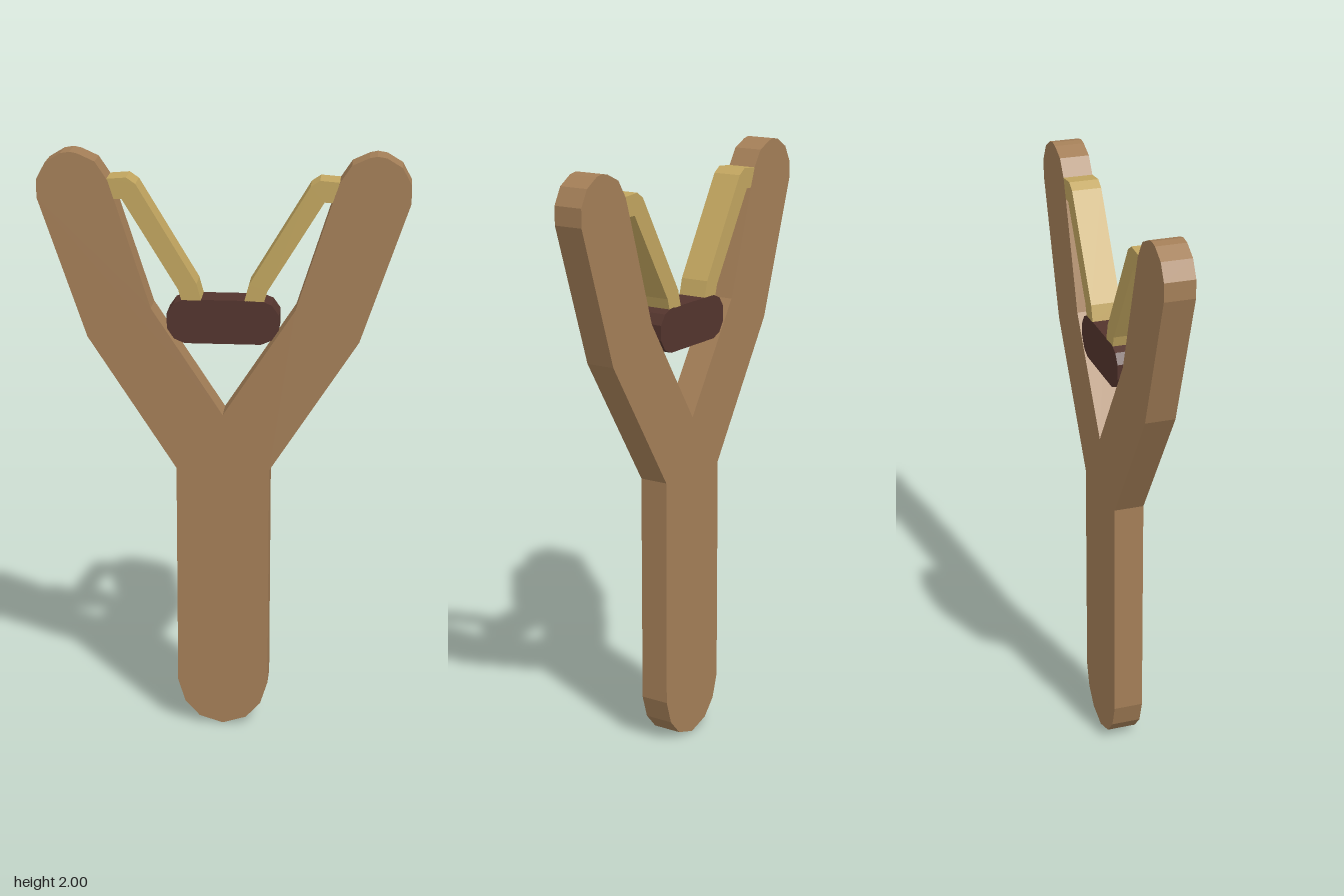
import * as THREE from 'three';

const DEPTH = 0.1;

const paint = (name, color) => {
  const m = new THREE.MeshStandardMaterial({ color });
  m.name = name;
  return m;
};

// Flat slab cut from an outline, centred on z = 0
function slab(name, points, material) {
  const shape = new THREE.Shape(points.map(([x, y]) => new THREE.Vector2(x, y)));
  const geometry = new THREE.ExtrudeGeometry(shape, { depth: DEPTH, bevelEnabled: false });
  geometry.translate(0, 0, -DEPTH / 2);
  const mesh = new THREE.Mesh(geometry, material);
  mesh.name = name;
  return mesh;
}

const flip = (points) => points.map(([x, y]) => [-x, y]).reverse();

export function createModel() {
  const group = new THREE.Group();
  group.name = 'slingshot';
  const wood = paint('wood', 0xa37e57);
  const rubber = paint('rubber', 0xc1a55f);
  const leather = paint('leather', 0x53342d);

  // Forked frame: right half of the outline, from the handle's foot to the crotch
  const half = [
    [0.08, 0.025], [0.13, 0.08], [0.155, 0.16], [0.155, 0.94], [0.445, 1.39],
    [0.6, 1.85], [0.6, 1.91], [0.57, 1.965], [0.52, 1.995], [0.49, 2], [0.465, 1.995],
    [0.41, 1.97], [0.37, 1.91], [0.235, 1.49],
  ];
  group.add(slab('frame', [[0, 0], ...half, [0, 1.13], ...flip(half)], wood));

  // Rubber bands from the fork tips to the pouch
  const band = [
    [0.135, 1.52], [0.145, 1.555], [0.325, 1.85], [0.351, 1.85], [0.373, 1.915],
    [0.31, 1.92], [0.28, 1.9], [0.085, 1.575], [0.07, 1.52],
  ];
  group.add(slab('leftBand', band, rubber), slab('rightBand', flip(band), rubber));

  // Pouch
  const end = [
    [0.125, 1.375], [0.16, 1.39], [0.183, 1.425], [0.183, 1.475], [0.16, 1.508], [0.125, 1.522],
  ];
  group.add(slab('pouch', [...end, ...flip(end)], leather));

  return group;
}
